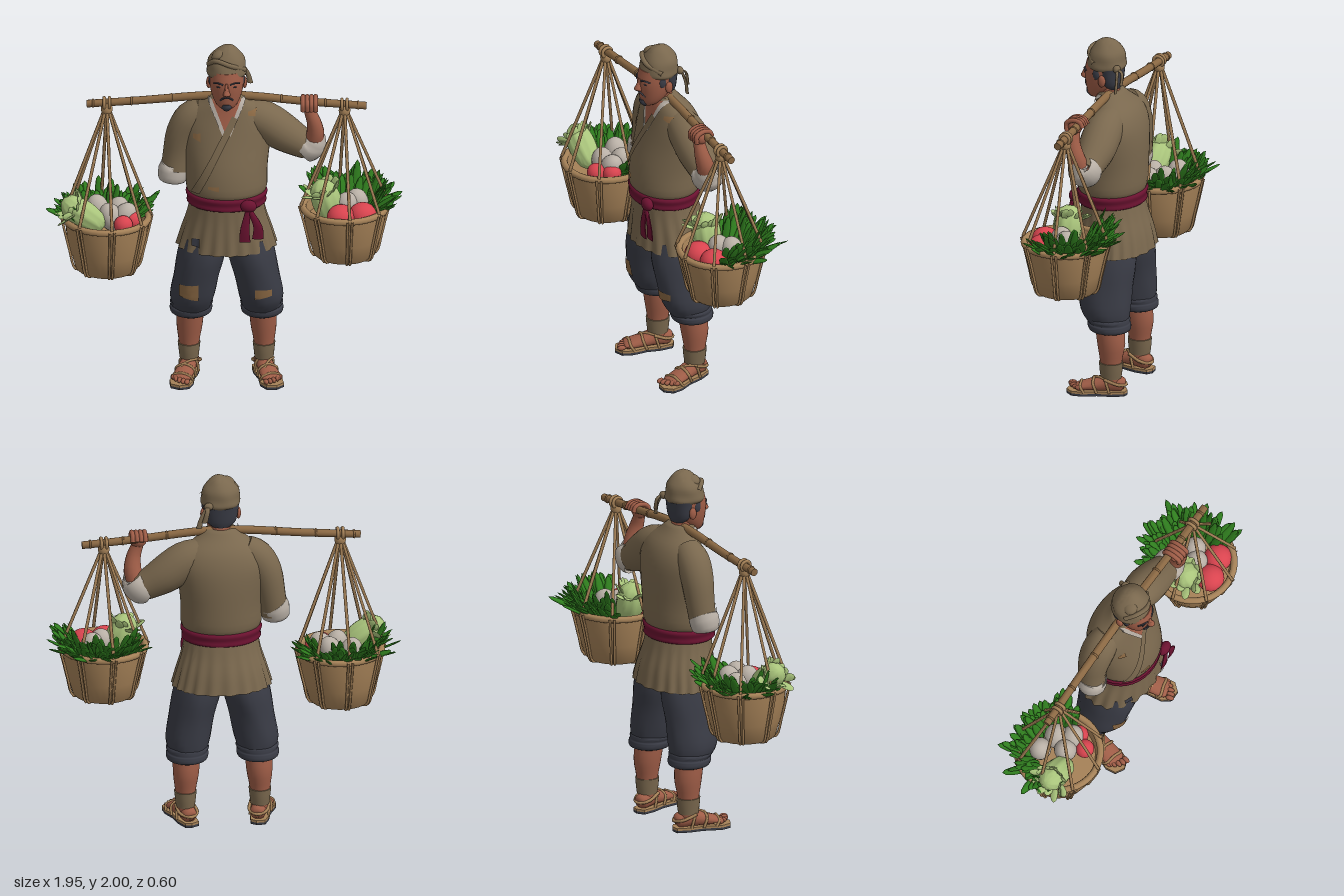
import * as THREE from 'three';
import { mergeGeometries, toCreasedNormals } from 'three/addons/utils/BufferGeometryUtils.js';

const V = (x, y, z) => new THREE.Vector3(x, y, z);
const mat = (name, color, side = THREE.FrontSide) =>
  Object.assign(new THREE.MeshStandardMaterial({ color, side }), { name });
const M = {
  robe: mat('robe brown', 0x7a684e), skin: mat('skin', 0x9f5d47), dark: mat('charcoal', 0x3a3c46),
  sash: mat('crimson', 0x6b1230), wicker: mat('wicker', 0xa68258), linen: mat('linen', 0xb9b0a6),
  leaf: mat('leaf green', 0x2f7d1e), pale: mat('pale green', 0xaac57c), red: mat('red', 0xd9444f),
  patch: mat('patch tan', 0x8a6843),
};

// Closed smooth skin over elliptical sections [x, y, z, rSide, rFront]; upright ones stay level
function loft(rows, { n = 24, along = false, deform = () => 1, sub = 3 } = {}) {
  const centre = new THREE.CatmullRomCurve3(rows.map(r => V(r[0], r[1], r[2])), false, 'catmullrom', 0.5);
  const radii = new THREE.CatmullRomCurve3(rows.map(r => V(r[3], r[4] ?? r[3], 0)), false, 'catmullrom', 0.5);
  const pos = [], idx = [], steps = (rows.length - 1) * sub;
  for (let i = 0; i <= steps; i++) {
    const t = i / steps, c = centre.getPoint(t), r = radii.getPoint(t);
    const T = along ? centre.getTangent(t) : V(0, 1, 0);
    const U = Math.abs(T.z) > 0.7 ? V(0, 1, 0) : V(0, 0, 1);
    U.addScaledVector(T, -U.dot(T)).normalize();
    const W = T.clone().cross(U);
    for (let j = 0; j < n; j++) {
      const a = j / n * Math.PI * 2, k = deform(a, t);
      const p = c.clone().addScaledVector(W, Math.sin(a) * r.x * k).addScaledVector(U, Math.cos(a) * r.y * k);
      pos.push(p.x, p.y, p.z);
    }
  }
  for (let i = 0; i < steps; i++) for (let j = 0; j < n; j++) {
    const a = i * n + j, b = i * n + (j + 1) % n;
    idx.push(a, b, b + n, a, b + n, a + n);
  }
  const end = (steps + 1) * n, last = steps * n;
  for (const c of [centre.getPoint(0), centre.getPoint(1)]) pos.push(c.x, c.y, c.z);
  for (let j = 0; j < n; j++) {
    const k = (j + 1) % n;
    idx.push(end, k, j, end + 1, last + j, last + k);
  }
  const g = new THREE.BufferGeometry();
  g.setAttribute('position', new THREE.Float32BufferAttribute(pos, 3));
  g.setIndex(idx);
  return toCreasedNormals(g, 0.9);
}
const limb = (rows, n = 14) => loft(rows, { along: true, n });
const ball = (x, y, z, rx, ry = rx, rz = rx, tilt = 0) =>
  new THREE.SphereGeometry(1, 18, 12).scale(rx, ry, rz).rotateZ(tilt).translate(x, y, z);
const tube = (pts, r, n = 16, sides = 6) =>
  new THREE.TubeGeometry(new THREE.CatmullRomCurve3(pts), n, r, sides);

function add(group, name, geo, material) {
  const m = new THREE.Mesh(geo, material);
  m.name = name;
  group.add(m);
  return m;
}

// Thin piece laid on the front of a target; corners: bottom left, bottom right, top right, top left
function patch(group, name, target, corners, material, lift = 0.005) {
  const g = new THREE.PlaneGeometry(1, 1, 6, 12), p = g.attributes.position, ray = new THREE.Raycaster();
  const [bl, br, tr, tl] = corners;
  let z = 0.1;
  for (let i = 0; i < p.count; i++) {
    const u = p.getX(i) + 0.5, v = p.getY(i) + 0.5;
    const mix = k => (bl[k] * (1 - u) + br[k] * u) * (1 - v) + (tl[k] * (1 - u) + tr[k] * u) * v;
    const o = V(mix(0), mix(1), 2);
    ray.set(o, V(0, 0, -1));
    const hit = ray.intersectObject(target)[0];
    if (hit) { o.copy(hit.point).addScaledVector(hit.face.normal, lift); z = o.z; } else o.z = z;
    p.setXYZ(i, o.x, o.y, o.z);
  }
  g.computeVertexNormals();
  return add(group, name, g, material);
}

function seeded(seed) {
  return () => (seed = (seed * 16807) % 2147483647) / 2147483647;
}

// Leaves fanning outward over an arc of the basket
function leaves(count, from, to, y, base, len, seed) {
  const rnd = seeded(seed), out = [];
  for (let i = 0; i < count; i++) {
    const a = from + (to - from) * (i + rnd()) / count, l = len * (0.75 + rnd() * 0.5);
    const r = base * (0.65 + rnd() * 0.4), tilt = 0.35 + rnd() * 0.85;
    out.push(new THREE.SphereGeometry(1, 6, 5).scale(0.024, l / 2, 0.007).translate(0, l / 2, 0)
      .rotateY((rnd() - 0.5) * 1.2).rotateX(tilt).rotateY(a + (rnd() - 0.5) * 0.5)
      .translate(Math.sin(a) * r, y, Math.cos(a) * r));
  }
  return mergeGeometries(out);
}

function basket(name, x, y, h, z, knotY) {
  const g = new THREE.Group();
  g.name = name;
  g.position.set(x, y, z);
  const prof = [[0, 0], [0.16, 0], [0.172, 0.012], [0.2, 0.11], [0.22, 0.2], [0.23, h], [0.212, h], [0.2, h - 0.06], [0, h - 0.06]];
  add(g, 'basketBody', toCreasedNormals(new THREE.LatheGeometry(prof.map(p => new THREE.Vector2(...p)), 32), 0.7), M.wicker);
  add(g, 'basketRim', new THREE.TorusGeometry(0.228, 0.019, 8, 36).rotateX(Math.PI / 2).translate(0, h, 0), M.wicker);
  const ropes = [], ribs = [], top = knotY - y;
  for (let i = 0; i < 8; i++) {
    const a = (i + 0.15) * Math.PI / 4;
    const at = (r, yy, da = 0) => V(Math.sin(a + da) * r, yy, Math.cos(a + da) * r);
    ropes.push(tube([at(0.012, top), at(0.13, top * 0.5 + h * 0.5), at(0.242, h + 0.015)], 0.009));
    for (const da of [-0.05, 0.05])
      ribs.push(tube([at(0.25, h + 0.01, da), at(0.226, 0.2, da), at(0.205, 0.11, da), at(0.174, 0.005, da), at(0.13, -0.002, da)], 0.007));
  }
  add(g, 'ropes', mergeGeometries(ropes), M.wicker);
  add(g, 'basketRibs', mergeGeometries(ribs), M.wicker);
  add(g, 'ropeKnot', ball(0, top, 0, 0.032, 0.04, 0.03), M.wicker);
  for (const d of [-0.014, 0.014])
    add(g, 'poleLoop', new THREE.TorusGeometry(0.028, 0.01, 6, 16).rotateY(Math.PI / 2).translate(d, top + 0.035, 0), M.wicker);
  return g;
}

function cabbage(x, y, z, long, wide, tilt) {
  const body = loft([[0, -long, 0, 0.02], [0, -long * 0.75, 0, wide * 0.75], [0, 0, 0, wide], [0, long * 0.7, 0, wide * 0.8], [0, long, 0, 0.02]],
    { n: 36, deform: a => 1 + 0.04 * Math.sin(a * 9) }).deleteAttribute('uv');
  const frill = toCreasedNormals(leaves(16, 0, Math.PI * 2, long * 0.35, wide * 0.75, 0.08, 31), 1).deleteAttribute('uv');
  return mergeGeometries([body, frill]).rotateZ(tilt).translate(x, y, z);
}

function foot(s) {
  const g = new THREE.Group();
  g.name = s > 0 ? 'leftFoot' : 'rightFoot';
  g.position.set(s * 0.2, 0, -0.08);
  g.rotation.y = s * 0.27;
  const outline = new THREE.Shape([[-0.045, 0.07], [-0.055, 0], [-0.05, -0.08], [-0.066, -0.18], [-0.045, -0.235], [0.01, -0.25], [0.056, -0.22],
    [0.064, -0.16], [0.048, -0.08], [0.05, 0], [0.035, 0.07], [0, 0.085]].map(p => new THREE.Vector2(...p)));
  const slab = y => new THREE.ExtrudeGeometry(outline, { depth: 0.013, bevelEnabled: false }).rotateX(-Math.PI / 2).translate(0, y, 0);
  add(g, 'sole', slab(0), M.dark);
  add(g, 'sandalBase', slab(0.013), M.wicker);
  add(g, 'footSkin', limb([[0, 0.055, -0.07, 0.02], [0, 0.06, -0.05, 0.042], [0, 0.068, 0.02, 0.045, 0.048], [0, 0.055, 0.1, 0.052, 0.034], [0, 0.043, 0.18, 0.055, 0.02], [0, 0.04, 0.2, 0.04, 0.012]]), M.skin);
  for (let i = 0; i < 5; i++)
    add(g, 'toe', ball(s * (i * 0.023 - 0.045), 0.043, 0.222 - i * i * 0.003, 0.0135 - i * 0.0007, 0.014, 0.024), M.skin);
  for (const [z, h, w] of [[0.17, 0.068, 0.06], [0.1, 0.094, 0.056], [0.03, 0.12, 0.052]])
    add(g, 'strap', tube([V(-w, 0.02, z - 0.02), V(-w * 0.85, h * 0.75, z), V(0, h, z), V(w * 0.85, h * 0.75, z), V(w, 0.02, z - 0.02)], 0.008), M.wicker);
  add(g, 'heelStrap', tube([V(-0.05, 0.1, 0.04), V(-0.048, 0.07, -0.04), V(0, 0.06, -0.078), V(0.048, 0.07, -0.04), V(0.05, 0.1, 0.04)], 0.009), M.wicker);
  add(g, 'lace', tube([V(-0.055, 0.03, 0.15), V(0, 0.098, 0.09), V(0.05, 0.1, 0.03)], 0.007), M.wicker);
  return g;
}

export function createModel() {
  const root = new THREE.Group();
  root.name = 'porter';

  // Jacket and skirt
  const torso = add(root, 'jacket', loft([[0, 1.12, 0, 0.2, 0.168], [0, 1.16, 0, 0.222, 0.187], [0, 1.28, -0.01, 0.225, 0.182], [0, 1.42, -0.03, 0.24, 0.163],
    [0, 1.52, -0.037, 0.245, 0.143], [0, 1.6, -0.03, 0.205, 0.118], [0, 1.66, -0.008, 0.13, 0.088], [0, 1.7, 0.005, 0.085, 0.068]], { n: 36 }), M.robe);
  const skirt = add(root, 'skirt', loft([[0, 0.8, -0.028, 0.272, 0.207], [0, 0.9, -0.022, 0.245, 0.195], [0, 1, -0.01, 0.215, 0.178], [0, 1.09, 0, 0.2, 0.168]],
    { n: 120, deform: (a, t) => 1 + (1 - t) * 0.03 * Math.sin(a * 20 + Math.sin(a * 3)) }), M.robe);
  add(root, 'sash', loft([[0, 1.06, 0, 0.2, 0.168], [0, 1.07, 0, 0.218, 0.186], [0, 1.095, 0, 0.216, 0.183], [0, 1.125, 0, 0.224, 0.19], [0, 1.145, 0, 0.205, 0.172]], { n: 36 }), M.sash);
  add(root, 'sashKnot', ball(0.12, 1.1, 0.175, 0.045, 0.036, 0.03), M.sash);
  for (const [x, y] of [[0.1, 0.89], [0.17, 0.91]])
    add(root, 'sashTail', loft([[x, y, 0.185, 0.032, 0.006], [x, y + 0.08, 0.19, 0.026, 0.008], [0.12, 1.09, 0.185, 0.015, 0.01]], { n: 10 }), M.sash);
  patch(root, 'lapel', torso, [[-0.19, 1.16], [-0.145, 1.16], [0.06, 1.58], [0.03, 1.6]], M.robe, 0.009);
  patch(root, 'chest', torso, [[-0.004, 1.5], [0.004, 1.5], [0.09, 1.685], [-0.09, 1.685]], M.skin, 0.004);
  for (const s of [-1, 1]) {
    const q = [[s * 0.022, 1.49], [s * 0.002, 1.49], [s * 0.078, 1.69], [s * 0.105, 1.69]];
    patch(root, 'innerCollar', torso, s < 0 ? q : [q[1], q[0], q[3], q[2]], M.linen, 0.008);
  }
  const square = (x, y, w, h, k = 0) => [[x - w, y - h + k], [x + w, y - h - k], [x + w, y + h], [x - w, y + h - k]];
  patch(root, 'chestPatch', torso, square(-0.16, 1.475, 0.02, 0.02, 0.008), M.patch);
  patch(root, 'bellyPatch', torso, square(-0.07, 1.205, 0.03, 0.012, 0.006), M.patch);
  patch(root, 'shoulderPatch', torso, square(0.15, 1.605, 0.035, 0.02, 0.01), M.patch);
  patch(root, 'skirtPatch', skirt, square(-0.165, 0.865, 0.022, 0.024, 0.004), M.dark, 0.008);

  // Lowered right arm, raised left arm
  add(root, 'rightSleeve', limb([[-0.12, 1.59, -0.03, 0.075], [-0.19, 1.54, -0.035, 0.092], [-0.24, 1.45, -0.04, 0.09], [-0.268, 1.33, -0.04, 0.08], [-0.288, 1.2, -0.03, 0.074]], 20), M.robe);
  add(root, 'rightCuff', limb([[-0.286, 1.245, -0.03, 0.07], [-0.289, 1.24, -0.03, 0.083], [-0.298, 1.18, -0.02, 0.076], [-0.3, 1.165, -0.018, 0.05]], 20), M.linen);
  add(root, 'leftSleeve', limb([[0.1, 1.57, -0.03, 0.085], [0.2, 1.53, -0.03, 0.105], [0.3, 1.46, -0.03, 0.105], [0.39, 1.405, -0.025, 0.088], [0.45, 1.375, -0.02, 0.075]], 20), M.robe);
  add(root, 'leftCuff', limb([[0.41, 1.355, -0.025, 0.06], [0.422, 1.362, -0.025, 0.086], [0.465, 1.395, -0.015, 0.087], [0.485, 1.42, -0.005, 0.07], [0.487, 1.425, -0.005, 0.05]], 20), M.linen);
  add(root, 'leftForearm', limb([[0.46, 1.38, -0.01, 0.05], [0.485, 1.46, 0.015, 0.05], [0.478, 1.54, 0.035, 0.04], [0.458, 1.6, 0.038, 0.033], [0.452, 1.63, 0.035, 0.035]]), M.skin);
  add(root, 'leftFist', ball(0.452, 1.64, 0.035, 0.048, 0.048, 0.042), M.skin);
  for (let i = 0; i < 4; i++) {
    const x = 0.418 + i * 0.023;
    add(root, 'finger', tube([V(x, 1.62, 0.07), V(x, 1.66, 0.072), V(x, 1.682, 0.035), V(x, 1.675, -0.008), V(x, 1.645, -0.024)], 0.0135, 12, 8), M.skin);
  }

  // Head
  add(root, 'neck', loft([[0, 1.58, 0, 0.07], [0, 1.66, 0.015, 0.062], [0, 1.76, 0.03, 0.06]]), M.skin);
  add(root, 'head', loft([[0, 1.65, 0.1, 0.025, 0.025], [0, 1.675, 0.085, 0.057, 0.057], [0, 1.73, 0.064, 0.083, 0.088], [0, 1.8, 0.052, 0.095, 0.108], [0, 1.87, 0.045, 0.095, 0.1]]), M.skin);
  add(root, 'nose', loft([[0, 1.745, 0.153, 0.014, 0.01], [0, 1.758, 0.163, 0.021, 0.025], [0, 1.785, 0.158, 0.012, 0.018], [0, 1.82, 0.15, 0.008, 0.01]], { n: 12 }), M.skin);
  add(root, 'hair', loft([[0, 1.715, -0.01, 0.05, 0.035], [0, 1.75, 0, 0.084, 0.055], [0, 1.84, 0.005, 0.1, 0.07]]), M.dark);
  add(root, 'beard', loft([[0, 1.648, 0.122, 0.014, 0.012], [0, 1.668, 0.122, 0.03, 0.03], [0, 1.69, 0.124, 0.024, 0.03]], { n: 14 }), M.dark);
  add(root, 'moustache', tube([V(-0.035, 1.715, 0.138), V(-0.02, 1.732, 0.152), V(0, 1.737, 0.158), V(0.02, 1.732, 0.152), V(0.035, 1.715, 0.138)], 0.005), M.dark);
  for (const s of [-1, 1]) {
    add(root, 'ear', ball(s * 0.098, 1.775, 0.025, 0.014, 0.034, 0.022), M.skin);
    add(root, 'sideburn', ball(s * 0.088, 1.81, 0.06, 0.012, 0.035, 0.022), M.dark);
    add(root, 'eyebrow', tube([V(s * 0.018, 1.813, 0.157), V(s * 0.045, 1.82, 0.148), V(s * 0.07, 1.812, 0.126)], 0.005), M.dark);
    add(root, 'eye', ball(s * 0.042, 1.797, 0.145, 0.014, 0.005, 0.006), M.dark);
  }
  add(root, 'cap', loft([[0, 1.83, 0.035, 0.1, 0.1], [0, 1.845, 0.035, 0.109, 0.11], [0, 1.875, 0.035, 0.106, 0.105], [0, 1.92, 0.03, 0.1, 0.095], [0.003, 1.96, 0.03, 0.07, 0.07],
    [0.008, 1.985, 0.03, 0.04, 0.045], [0.01, 1.999, 0.03, 0.012, 0.015]], { n: 32, deform: (a, t) => 1 + 0.015 * Math.sin(a * 5 + t * 9) }), M.robe);
  add(root, 'capFold', tube([V(-0.1, 1.9, 0.06), V(-0.055, 1.935, 0.11), V(0.02, 1.915, 0.128), V(0.1, 1.87, 0.07)], 0.014, 20, 8), M.robe);
  add(root, 'capLump', ball(-0.045, 1.95, 0.06, 0.04, 0.025, 0.04, 0.5), M.robe);
  add(root, 'capKnot', ball(0.075, 1.85, -0.055, 0.025, 0.022, 0.02), M.robe);
  for (const [x, y, z] of [[0.13, 1.73, -0.07], [0.1, 1.77, -0.09]])
    add(root, 'capTail', loft([[x, y, z, 0.016, 0.007], [x - 0.015, y + 0.06, z, 0.013, 0.007], [0.08, 1.855, -0.06, 0.01, 0.009]], { n: 8 }), M.robe);

  // Legs
  for (const s of [-1, 1]) {
    const leg = add(root, s > 0 ? 'leftTrouser' : 'rightTrouser', loft([[s * 0.19, 0.41, -0.055, 0.1, 0.11], [s * 0.188, 0.49, -0.035, 0.122, 0.14], [s * 0.165, 0.62, -0.025, 0.124, 0.155],
      [s * 0.137, 0.75, -0.022, 0.131, 0.168], [s * 0.12, 0.86, -0.02, 0.12, 0.155]], { n: 28, deform: (a, t) => 1 + 0.012 * Math.sin(a * 7 + t * 8) }), M.dark);
    add(root, 'trouserCuff', loft([[s * 0.195, 0.37, -0.065, 0.09, 0.095], [s * 0.195, 0.382, -0.065, 0.112, 0.115], [s * 0.194, 0.41, -0.06, 0.117, 0.12], [s * 0.193, 0.422, -0.06, 0.11, 0.114],
      [s * 0.192, 0.44, -0.055, 0.118, 0.12], [s * 0.191, 0.462, -0.05, 0.1, 0.11]], { n: 28 }), M.dark);
    patch(root, 'kneePatch', leg, s < 0 ? square(-0.205, 0.565, 0.05, 0.045, 0.012) : square(0.2, 0.55, 0.045, 0.023, -0.008), M.patch, 0.006);
    add(root, 'calf', loft([[s * 0.205, 0.07, -0.075, 0.046, 0.05], [s * 0.205, 0.19, -0.075, 0.056, 0.06], [s * 0.202, 0.3, -0.075, 0.072, 0.078], [s * 0.197, 0.42, -0.06, 0.075, 0.08]]), M.skin);
    add(root, 'ankleWrap', loft([[s * 0.205, 0.1, -0.075, 0.052, 0.058], [s * 0.205, 0.145, -0.075, 0.057, 0.064], [s * 0.205, 0.19, -0.075, 0.062, 0.067]]), M.robe);
    root.add(foot(s));
  }

  // Shoulder pole with growth rings
  add(root, 'pole', limb([[-0.765, 1.632, -0.01, 0.021], [-0.45, 1.655, -0.008, 0.022], [-0.12, 1.685, -0.002, 0.023], [0.12, 1.685, 0.002, 0.023], [0.45, 1.652, 0.008, 0.022], [0.765, 1.628, 0.01, 0.021]], 12), M.patch);
  for (const [x, y] of [[-0.73, 1.635], [-0.52, 1.65], [-0.3, 1.67], [0.3, 1.668], [0.54, 1.645], [0.72, 1.632]])
    add(root, 'poleRing', new THREE.TorusGeometry(0.02, 0.006, 6, 14).rotateY(Math.PI / 2).translate(x, y, x * 0.014), M.patch);

  // Baskets and vegetables
  const right = basket('rightBasket', -0.655, 0.66, 0.3, -0.003, 1.605);
  add(right, 'greens', leaves(85, Math.PI * 0.5, Math.PI * 1.68, 0.27, 0.17, 0.16, 77), M.leaf);
  add(right, 'cabbage', cabbage(-0.13, 0.35, 0.07, 0.135, 0.075, 0.95), M.pale);
  for (const [x, z, t] of [[-0.05, -0.09, 0.2], [0.06, -0.06, -0.3], [0.02, 0.03, 0.3], [0.1, 0.02, -0.5]])
    add(right, 'turnip', ball(x, 0.315, z, 0.062, 0.08, 0.062, t), M.linen);
  for (const [x, z] of [[0.09, 0.11], [0.14, 0.04]]) add(right, 'radish', ball(x, 0.3, z, 0.052), M.red);
  root.add(right);

  const left = basket('leftBasket', 0.645, 0.75, 0.28, 0.01, 1.6);
  add(left, 'greens', leaves(90, Math.PI * 0.36, Math.PI * 1.3, 0.25, 0.17, 0.18, 911), M.leaf);
  add(left, 'cabbage', cabbage(-0.1, 0.33, 0.03, 0.12, 0.08, 0.3), M.pale);
  for (const [x, z] of [[-0.02, 0.13], [0.1, 0.1]]) add(left, 'radish', ball(x, 0.27, z, 0.077, 0.07), M.red);
  for (const [x, z, t] of [[0.01, 0.02, -0.2], [0.07, -0.03, 0.3]]) add(left, 'turnip', ball(x, 0.3, z, 0.06, 0.07, 0.06, t), M.linen);
  root.add(left);
  return root;
}
